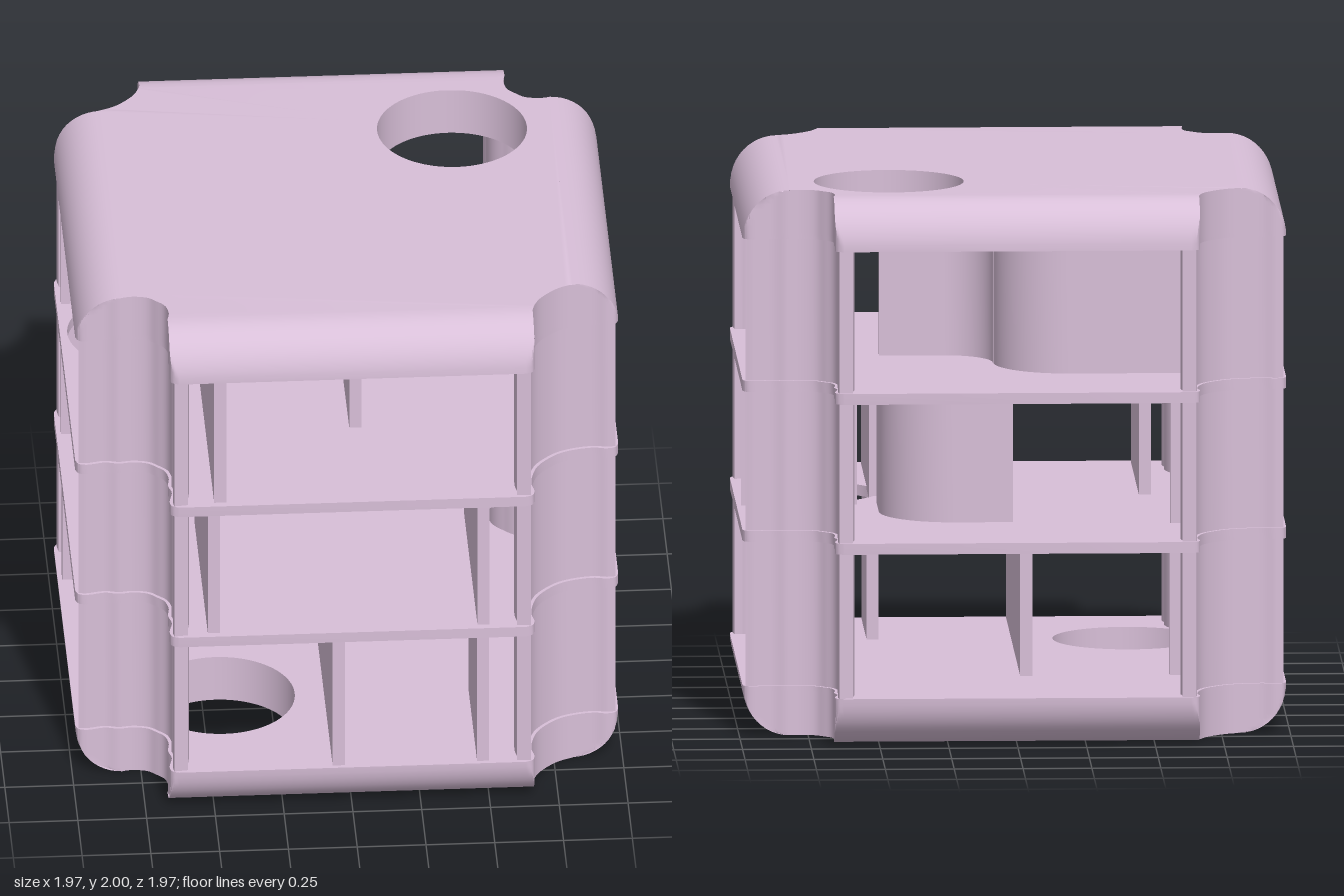
import * as THREE from 'three';
import { toCreasedNormals } from 'three/addons/utils/BufferGeometryUtils.js';

const EDGE = 0.987;
const material = new THREE.MeshStandardMaterial({ color: 0xd8bfd8 });

// Half of each corner recess, from the side edge to the diagonal (x, z)
const LIP = [[0.63, EDGE], [0.655, 0.975], [0.663, 0.945]];
const WIDE = [[0.655, 0.9], [0.662, 0.84], [0.685, 0.775], [0.725, 0.725]];
const WAVY = [[0.651, 0.88], [0.662, 0.83], [0.656, 0.78], [0.668, 0.725], [0.695, 0.695]];

// Full recess curve, mirrored over the diagonal
function recess(half, sx, sz, samples = 48) {
  const mirrored = half.slice(0, -1).reverse().map(([x, z]) => [z, x]);
  const pts = [...half, ...mirrored].map(([x, z]) => new THREE.Vector3(x, 0, z));
  return new THREE.CatmullRomCurve3(pts).getPoints(samples).map((p) => [p.x * sx, p.z * sz]);
}

const CORNERS = [[1, 1, WIDE], [1, -1, WAVY], [-1, -1, WIDE], [-1, 1, WAVY]];

// Plan outline of the floors, with one round hole
function floorShape([hx, hz, r]) {
  const outline = CORNERS.flatMap(([sx, sz, half]) => {
    const pts = recess([...LIP, ...half], sx, sz);
    return sx * sz > 0 ? pts : pts.reverse();
  });
  const shape = new THREE.Shape(outline.map(([x, z]) => new THREE.Vector2(x, -z)));
  shape.holes.push(new THREE.Path().absarc(hx, -hz, r, 0, Math.PI * 2, true));
  return shape;
}

function extrudeUp(shape, height, steps = 1) {
  const geo = new THREE.ExtrudeGeometry(shape, { depth: height, steps, bevelEnabled: false, curveSegments: 64 });
  return geo.rotateX(-Math.PI / 2);
}

function addMesh(group, name, geo, y) {
  const mesh = new THREE.Mesh(toCreasedNormals(geo, 0.6), material);
  mesh.name = name;
  mesh.position.y = y;
  group.add(mesh);
}

// End slab whose outer sides roll over in a quarter round
function slabGeometry(hole, isTop) {
  const h = 0.18;
  const geo = extrudeUp(floorShape(hole), h, 12);
  const pos = geo.attributes.position;
  for (let i = 0; i < pos.count; i++) {
    const t = pos.getY(i) / h;
    const a = (isTop ? 1 - t : t) * Math.PI / 2;
    const limit = EDGE - 0.17 * (1 - Math.sin(a));
    const rise = h * (1 - Math.cos(a));
    pos.setXYZ(i, THREE.MathUtils.clamp(pos.getX(i), -limit, limit),
      isTop ? h - rise : rise,
      THREE.MathUtils.clamp(pos.getZ(i), -limit, limit));
  }
  return geo;
}

// Upright wall: a plan path thickened between two offsets
function wallGeometry(path, from, to, height) {
  const side = (d) => path.map(([x, z], i) => {
    const a = path[Math.max(i - 1, 0)];
    const b = path[Math.min(i + 1, path.length - 1)];
    const tx = b[0] - a[0], tz = b[1] - a[1], len = Math.hypot(tx, tz);
    return new THREE.Vector2(x + d * tz / len, -(z - d * tx / len));
  });
  return extrudeUp(new THREE.Shape([...side(from), ...side(to).reverse()]), height);
}

// Quarter-turn points, angles in degrees from +x towards +z
function arc(cx, cz, r, start, end, n = 20) {
  return Array.from({ length: n + 1 }, (_, i) => {
    const a = THREE.MathUtils.degToRad(start + (end - start) * i / n);
    return [cx + r * Math.cos(a), cz + r * Math.sin(a)];
  });
}

export function createModel() {
  const group = new THREE.Group();
  group.name = 'mazeBox';

  // Floors, each with a drop hole
  addMesh(group, 'bottomSlab', slabGeometry([-0.45, 0.45, 0.272], false), 0);
  addMesh(group, 'topSlab', slabGeometry([0.45, -0.46, 0.272], true), 1.82);
  addMesh(group, 'lowerShelf', extrudeUp(floorShape([0.71, 0.27, 0.25]), 0.04), 0.71);
  addMesh(group, 'upperShelf', extrudeUp(floorShape([-0.71, -0.27, 0.25]), 0.04), 1.26);

  // Curved corner walls running the full height
  for (const [sx, sz, half] of CORNERS) {
    const path = recess([[0.66, 0.978], LIP[2], ...half], sx, sz);
    const s = sx * sz;
    addMesh(group, 'cornerWall', wallGeometry(path, 0.012 * s, 0.062 * s, 1.66), 0.17);
  }

  // Maze walls of each storey as plan paths (x, z)
  const storeys = [
    { name: 'lowerMazeWall', y: 0.17, h: 0.55, paths: [
      [[-0.05, 0.97], [-0.05, -0.45]],
      [[0.475, 0.97], [0.475, 0.455]],
      [[-0.97, -0.425], [-0.57, -0.425]],
    ] },
    { name: 'middleMazeWall', y: 0.74, h: 0.53, paths: [
      [[-0.503, 0.96], [-0.503, 0.165]],
      [[0.477, 0.96], [0.477, 0.165]],
      [[-0.97, -0.5], [-0.57, -0.5]],
      [[0.97, -0.02], [0.55, -0.02]],
      [[0, -0.46], ...arc(0.205, -0.21, 0.25, -90, 0), [0.455, 0]],
    ] },
    { name: 'upperMazeWall', y: 1.29, h: 0.54, paths: [
      [[-0.48, 0.96], [-0.48, 0]],
      [[-0.97, -0.5], ...arc(-0.21, -0.25, 0.25, -90, 0), [0.042, 0.46]],
      [[0.47, -0.042], ...arc(0.242, 0.158, 0.2, -90, -180)],
      [[0.47, -0.042], ...arc(0.242, -0.242, 0.2, 90, 180)],
    ] },
  ];
  for (const { name, y, h, paths } of storeys) {
    for (const path of paths) addMesh(group, name, wallGeometry(path, -0.022, 0.022, h), y);
  }
  return group;
}
